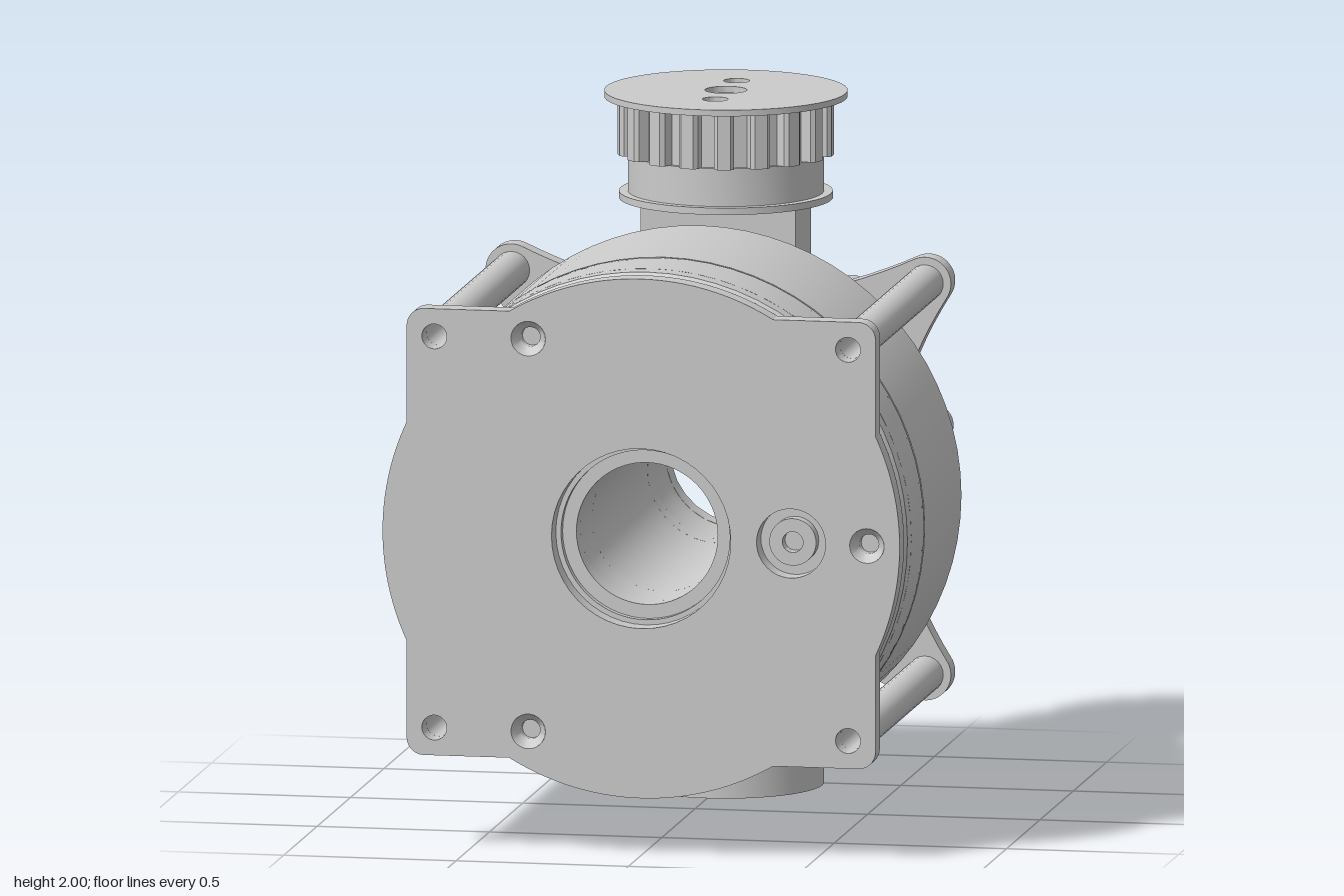
import * as THREE from 'three';
import { toCreasedNormals } from 'three/addons/utils/BufferGeometryUtils.js';

const CY = 0.915;      // height of the motor axis
const PZ = -0.46;      // depth of the vertical pulley axis
const BORE = 0.205;
const rad = THREE.MathUtils.degToRad;

export function createModel() {
  const model = new THREE.Group();
  const mat = new THREE.MeshStandardMaterial({ color: 0xcccccc });

  const add = (name, geo, x = 0, y = 0, z = 0) => {
    const mesh = new THREE.Mesh(toCreasedNormals(geo, 0.5), mat);
    mesh.name = name;
    mesh.position.set(x, y, z);
    model.add(mesh);
    return mesh;
  };
  const polar = (r, deg) => [r * Math.cos(rad(deg)), r * Math.sin(rad(deg))];
  const punch = (shape, x, y, r) => {
    shape.holes.push(new THREE.Path().absarc(x, y, r, 0, Math.PI * 2, true));
    return shape;
  };
  const disc = r => new THREE.Shape().absarc(0, 0, r, 0, Math.PI * 2, false);
  const extrude = (shape, depth, curveSegments = 24) =>
    new THREE.ExtrudeGeometry(shape, { depth, curveSegments, bevelEnabled: false });
  // slab between two depths, drawn around the motor axis
  const slab = (name, shape, z0, z1, segs) => add(name, extrude(shape, z1 - z0, segs), 0, CY, z0);
  // profile of [radius, z] turned around a line along z
  const turned = (name, pts, x = 0, y = CY, segs = 72) =>
    add(name, new THREE.LatheGeometry(pts.map(p => new THREE.Vector2(...p)), segs).rotateX(Math.PI / 2), x, y);

  // ---- motor body ----
  turned('rotorHousing', [
    [BORE, -0.345], [0.37, -0.345], [0.37, -0.275], [0.55, -0.275], [0.55, -0.205], [0.69, -0.205],
    [0.755, -0.09], [0.755, 0.46], [0.735, 0.46], [0.735, 0.475], [BORE, 0.475], [BORE, -0.345]]);
  turned('statorRearRing', [
    [BORE, 0.47], [0.755, 0.47], [0.755, 0.49], [BORE, 0.49], [BORE, 0.47]]);
  turned('statorFrontRing', [
    [BORE, 0.66], [0.755, 0.66], [0.755, 0.718], [0.735, 0.745], [0.245, 0.745],
    [0.245, 0.72], [BORE, 0.72], [BORE, 0.66]]);

  // middle of the stator, cut flat on one side for the cable window
  const cut = Math.acos(0.665 / 0.755);
  const slotted = new THREE.Shape().absarc(0, 0, 0.755, -Math.PI + cut, Math.PI - cut, false);
  slab('statorWindowSection', punch(slotted, 0, 0, BORE), 0.49, 0.66, 48);
  for (const s of [-1, 1])
    add('connector', new THREE.BoxGeometry(0.04, 0.2, 0.1), -0.675, CY + s * 0.13, 0.575);

  // ---- front plate: square with a round bulge on every side ----
  const [HX, HY, PR] = [0.68, 0.645, 0.75];
  const plate = new THREE.Shape();
  const a0 = Math.acos(HX / PR), a1 = Math.asin(HY / PR), f = 0.05;
  const corners = [[1, 1], [-1, 1], [-1, -1], [1, -1]];
  const bulges = [[-a0, a0], [a1, Math.PI - a1], [Math.PI - a0, Math.PI + a0], [Math.PI + a1, 2 * Math.PI - a1]];
  bulges.forEach(([s, e], i) => {
    const [sx, sy] = corners[i];
    plate.absarc(0, 0, PR, s, e, false);
    plate.absarc(sx * (HX - f), sy * (HY - f), f, i * Math.PI / 2, (i + 1) * Math.PI / 2, false);
  });
  const rodSpots = corners.map(([x, y]) => [x * 0.6, y * 0.565]);
  const screwSpots = [0, 120, 240].map(d => polar(0.655, d));
  punch(plate, 0, 0, 0.26);
  punch(plate, 0.435, 0, 0.1);
  rodSpots.forEach(p => punch(plate, ...p, 0.036));
  screwSpots.forEach(p => punch(plate, ...p, 0.05));
  slab('frontPlate', plate, 0.745, 0.81);

  // countersunk holes and the recessed socket screw
  screwSpots.forEach(([x, y]) =>
    turned('countersink', [[0.05, 0.81], [0.028, 0.775], [0.028, 0.75], [0, 0.75]], x, CY + y, 24));
  slab('socketScrew', punch(disc(0.068), 0, 0, 0.03), 0.74, 0.785, 6).position.x = 0.435;
  const screw = model.children[model.children.length - 1];
  screw.geometry = toCreasedNormals(extrude(punch(disc(0.068), 0, 0, 0.03), 0.045, 18), 0.5);

  // ---- four hollow tie rods ----
  rodSpots.forEach(([x, y]) => turned('tieRod', [
    [0.036, -0.345], [0.053, -0.345], [0.053, 0.745], [0.036, 0.745], [0.036, -0.345]], x, CY + y, 24));

  // ---- back plate: four rounded arms joined by hollow curves ----
  const arms = new THREE.Shape();
  const lobe = (sx, sy, from, to) => arms.absarc(sx * 0.6, sy * 0.565, 0.075, rad(from), rad(to), false);
  lobe(1, 1, -32, 115);
  arms.quadraticCurveTo(0, 0.37, -0.6 + 0.075 * Math.cos(rad(65)), 0.565 + 0.075 * Math.sin(rad(65)));
  lobe(-1, 1, 65, 212);
  arms.quadraticCurveTo(-0.335, 0, -0.6 - 0.075 * Math.cos(rad(32)), -0.565 + 0.075 * Math.sin(rad(32)));
  lobe(-1, -1, 148, 295);
  arms.quadraticCurveTo(0, -0.37, 0.6 - 0.075 * Math.cos(rad(65)), -0.565 - 0.075 * Math.sin(rad(65)));
  lobe(1, -1, 245, 392);
  arms.quadraticCurveTo(0.335, 0, 0.6 + 0.075 * Math.cos(rad(32)), 0.565 - 0.075 * Math.sin(rad(32)));
  punch(arms, 0, 0, BORE);
  rodSpots.forEach(p => punch(arms, ...p, 0.036));
  slab('backPlate', arms, -0.41, -0.345);

  // ---- upright post with its round hub ----
  const W = 0.225, TOP = 0.78, LOW = -0.78, hubR = 0.482;
  const h = Math.acos(W / hubR);
  const hub = new THREE.Shape().absarc(0, 0, hubR, -h, h, false);
  hub.lineTo(W, TOP);
  hub.lineTo(-W, TOP);
  hub.absarc(0, 0, hubR, Math.PI - h, Math.PI + h, false);
  hub.lineTo(-W, LOW);
  hub.lineTo(W, LOW);
  slab('postHub', punch(hub, 0, 0, BORE), -0.573, -0.41, 32);
  const post = new THREE.Shape([[W, LOW], [W, TOP], [-W, TOP], [-W, LOW]].map(p => new THREE.Vector2(...p)));
  slab('postFront', punch(post, 0, 0, BORE), -0.41, -0.344);

  // ---- output flange: spacer ring and eight-lobed star ----
  const boltSpots = [0, 60, 120, 180, 240, 300].map(d => polar(0.335, d));
  const spacer = punch(disc(0.39), 0, 0, BORE);
  const star = new THREE.Shape();
  const tips = [0, 1, 2, 3, 4, 5, 6, 7].map(k => 10 + 45 * k);
  tips.forEach(a => {
    const [x, y] = polar(0.565, a);
    star.absarc(x, y, 0.06, rad(a - 75), rad(a + 75), false);
    const [nx, ny] = polar(0.565, a + 45), [ex, ey] = polar(0.06, a - 30);
    star.quadraticCurveTo(...polar(0.35, a + 22.5), nx + ex, ny + ey);
  });
  punch(star, 0, 0, BORE);
  tips.forEach(a => punch(star, ...polar(0.565, a), 0.036));
  boltSpots.forEach(p => {
    punch(star, ...p, 0.065);
    punch(spacer, ...p, 0.0545);
  });
  slab('flangeSpacer', spacer, -0.617, -0.572, 32);
  slab('outputFlange', star, -0.688, -0.615, 14);

  // ---- pulley and foot on the vertical axis ----
  const stack = (name, shape, y0, y1, centre = 0.04) => {
    punch(shape, 0, 0, centre);
    for (const s of [-1, 1]) punch(shape, 0, s * 0.16, 0.037);
    add(name, extrude(shape, y1 - y0).rotateX(-Math.PI / 2), 0, y0, PZ);
  };
  const toothed = new THREE.Shape();
  const TEETH = 18;
  for (let i = 0; i < TEETH; i++) {
    const a = i * 360 / TEETH;
    [[0.268, -6], [0.3, -5.5], [0.31, -3.5], [0.31, 3.5], [0.3, 5.5], [0.268, 6]].forEach(([r, d], j) => {
      const p = polar(r, a + d);
      if (i + j === 0) toothed.moveTo(...p); else toothed.lineTo(...p);
    });
  }
  toothed.closePath();
  stack('pulleyCap', disc(0.347), 1.982, 2, 0.06);
  stack('pulleyTeeth', toothed, 1.82, 1.982);
  stack('pulleyCollar', disc(0.28), 1.705, 1.82);
  stack('pulleyLowerFlange', disc(0.305), 1.69, 1.71);
  stack('footFlange', disc(0.305), 0.118, 0.138);
  stack('footCollar', disc(0.28), 0, 0.12);

  return model;
}
